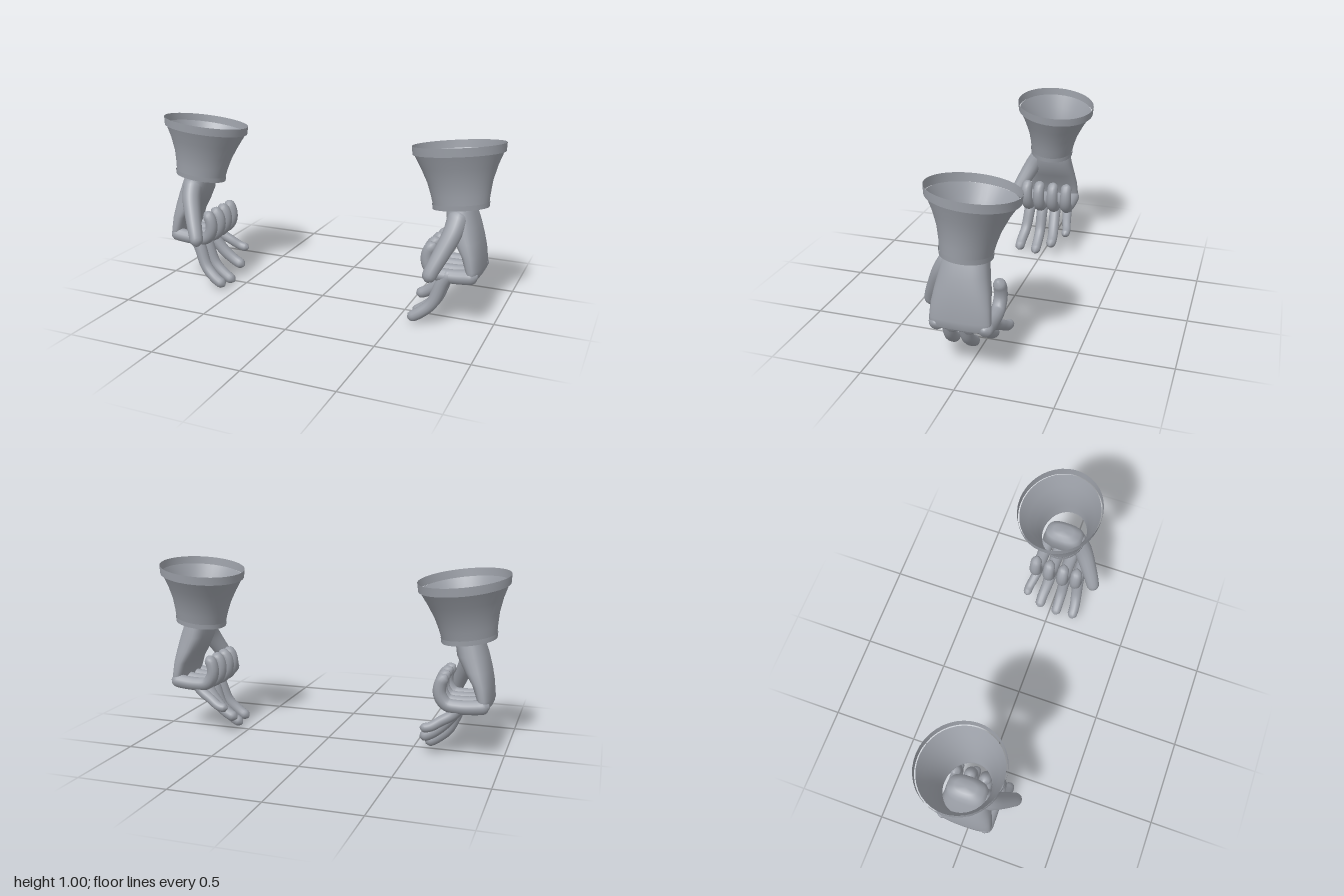
import * as THREE from 'three';

const V = (x, y, z) => new THREE.Vector3(x, y, z);

// Skin a list of rings (each an array of points) into a smooth surface.
function loft(rings, capped) {
  const n = rings[0].length, pos = [], idx = [];
  rings.forEach(r => r.forEach(p => pos.push(p.x, p.y, p.z)));
  for (let i = 0; i < rings.length - 1; i++) {
    for (let j = 0; j < n; j++) {
      const a = i * n + j, b = i * n + (j + 1) % n;
      idx.push(a, b, a + n, b, b + n, a + n);
    }
  }
  if (capped) {
    [0, rings.length - 1].forEach((ri, end) => {
      const c = V(0, 0, 0);
      rings[ri].forEach(p => c.addScaledVector(p, 1 / n));
      const k = pos.length / 3;
      pos.push(c.x, c.y, c.z);
      for (let j = 0; j < n; j++) {
        const a = ri * n + j, b = ri * n + (j + 1) % n;
        idx.push(...(end ? [a, b, k] : [b, a, k]));
      }
    });
  }
  const g = new THREE.BufferGeometry();
  g.setAttribute('position', new THREE.Float32BufferAttribute(pos, 3));
  g.setIndex(idx);
  g.computeVertexNormals();
  return g;
}

// Tapered digit along a curve, rounded at both ends.
function digit(points, r0, r1) {
  const curve = new THREE.CatmullRomCurve3(points, false, 'centripetal');
  const steps = 28, L = curve.getLength(), f = curve.computeFrenetFrames(steps, false);
  const rings = [];
  for (let i = 0; i <= steps; i++) {
    const t = i / steps, c = curve.getPointAt(t);
    let r = r0 + (r1 - r0) * t;
    const d = Math.min(t, 1 - t) * L;
    if (d < r) r *= Math.max(0.25, Math.sqrt(1 - (1 - d / r) ** 2));
    const ring = [];
    for (let j = 0; j < 14; j++) {
      const a = j / 14 * Math.PI * 2;
      ring.push(c.clone().addScaledVector(f.normals[i], r * Math.cos(a))
        .addScaledVector(f.binormals[i], r * Math.sin(a)));
    }
    rings.push(ring);
  }
  return loft(rings, true);
}

// Horizontal oval sections, top to bottom: [y, cx, cz, hx, hz].
function ovals(sections, power, tiltX, tiltZ, capped) {
  const soft = v => Math.sign(v) * Math.abs(v) ** (2 / power);
  return loft(sections.map(([y, cx, cz, hx, hz]) => {
    const ring = [];
    for (let j = 0; j < 40; j++) {
      const a = j / 40 * Math.PI * 2;
      const dx = hx * soft(Math.cos(a)), dz = hz * soft(Math.sin(a));
      ring.push(V(cx + dx, y + dx * tiltX + dz * tiltZ, cz + dz));
    }
    return ring;
  }), capped);
}

function mirrored(geometry) {
  const g = geometry.clone();
  g.scale(-1, 1, 1);
  const ix = g.index.array;
  for (let i = 0; i < ix.length; i += 3) [ix[i], ix[i + 1]] = [ix[i + 1], ix[i]];
  g.computeVertexNormals();
  return g;
}

export function createModel() {
  const grey = new THREE.MeshStandardMaterial({ color: 0x9ca0a8, side: THREE.DoubleSide });
  grey.name = 'glove grey';
  const parts = [];
  const add = (name, geometry) => parts.push([name, geometry]);

  // Flared open cuff with a rim band and a wrist band
  add('cuffRim', ovals([
    [0.968, 0.755, -0.033, 0.245, 0.233],
    [0.922, 0.757, -0.032, 0.241, 0.229]], 2, 0.11, 0.1));
  add('cuff', ovals([
    [0.926, 0.757, -0.032, 0.234, 0.222],
    [0.85, 0.764, -0.024, 0.199, 0.182],
    [0.775, 0.773, -0.016, 0.171, 0.152],
    [0.71, 0.781, -0.009, 0.156, 0.136],
    [0.655, 0.787, -0.003, 0.146, 0.127]], 2, 0.12, 0.1));
  add('wristBand', ovals([
    [0.664, 0.787, -0.003, 0.151, 0.132],
    [0.637, 0.788, -0.003, 0.148, 0.129]], 2, 0.13, 0.1));

  // Back of the hand and palm
  add('palm', ovals([
    [0.69, 0.788, -0.01, 0.035, 0.06],
    [0.675, 0.788, -0.008, 0.062, 0.098],
    [0.64, 0.793, -0.003, 0.074, 0.112],
    [0.56, 0.813, -0.001, 0.082, 0.125],
    [0.48, 0.844, 0, 0.07, 0.141],
    [0.41, 0.873, 0, 0.052, 0.152],
    [0.34, 0.889, 0, 0.042, 0.157],
    [0.3, 0.892, 0, 0.038, 0.156],
    [0.286, 0.89, 0, 0.024, 0.14]], 2.7, 0, 0, true));

  add('thumb', digit([V(0.8, 0.64, 0.05), V(0.785, 0.54, 0.118),
    V(0.742, 0.43, 0.177), V(0.705, 0.345, 0.218), V(0.685, 0.288, 0.238)], 0.06, 0.036));

  // Four curled fingers forming the fist
  [0.122, 0.042, -0.044, -0.128].forEach((z, i) => {
    const s = [0, 0.008, 0.002, -0.006][i];
    add('curledFinger' + (i + 1), digit([V(0.925, 0.312, z), V(0.86, 0.3, z),
      V(0.77, 0.294, z), V(0.69 - s, 0.305, z), V(0.655 - s, 0.36, z * 1.02),
      V(0.662 - s, 0.425, z * 1.02), V(0.695, 0.462, z)], 0.041, 0.033));
  });

  // Four long fingers sweeping down and inward: [root z, tip z, tip x, tip y, mid x, mid y]
  [[0.125, 0.148, 0.565, 0.03, 0.69, 0.13],
    [0.042, 0.042, 0.56, 0.02, 0.687, 0.12],
    [-0.044, -0.062, 0.548, 0.085, 0.675, 0.17],
    [-0.125, -0.152, 0.565, 0.168, 0.672, 0.21]].forEach(([z0, z1, tx, ty, mx, my], i) => {
    const zm = (z0 + z1) / 2;
    add('longFinger' + (i + 1), digit([V(0.79, 0.325, z0), V(0.742, 0.255, z0),
      V(mx, my, zm), V((mx + tx) / 2 - 0.002, (my + ty) / 2 - 0.012, z1), V(tx, ty, z1)],
    i === 3 ? 0.032 : 0.038, i === 3 ? 0.025 : 0.03));
  });

  // Matching pair
  const model = new THREE.Group();
  model.name = 'gloves';
  for (const side of ['left', 'right']) {
    const glove = new THREE.Group();
    glove.name = side + 'Glove';
    for (const [name, geometry] of parts) {
      const mesh = new THREE.Mesh(side === 'left' ? geometry : mirrored(geometry), grey);
      mesh.name = name;
      glove.add(mesh);
    }
    model.add(glove);
  }
  return model;
}
